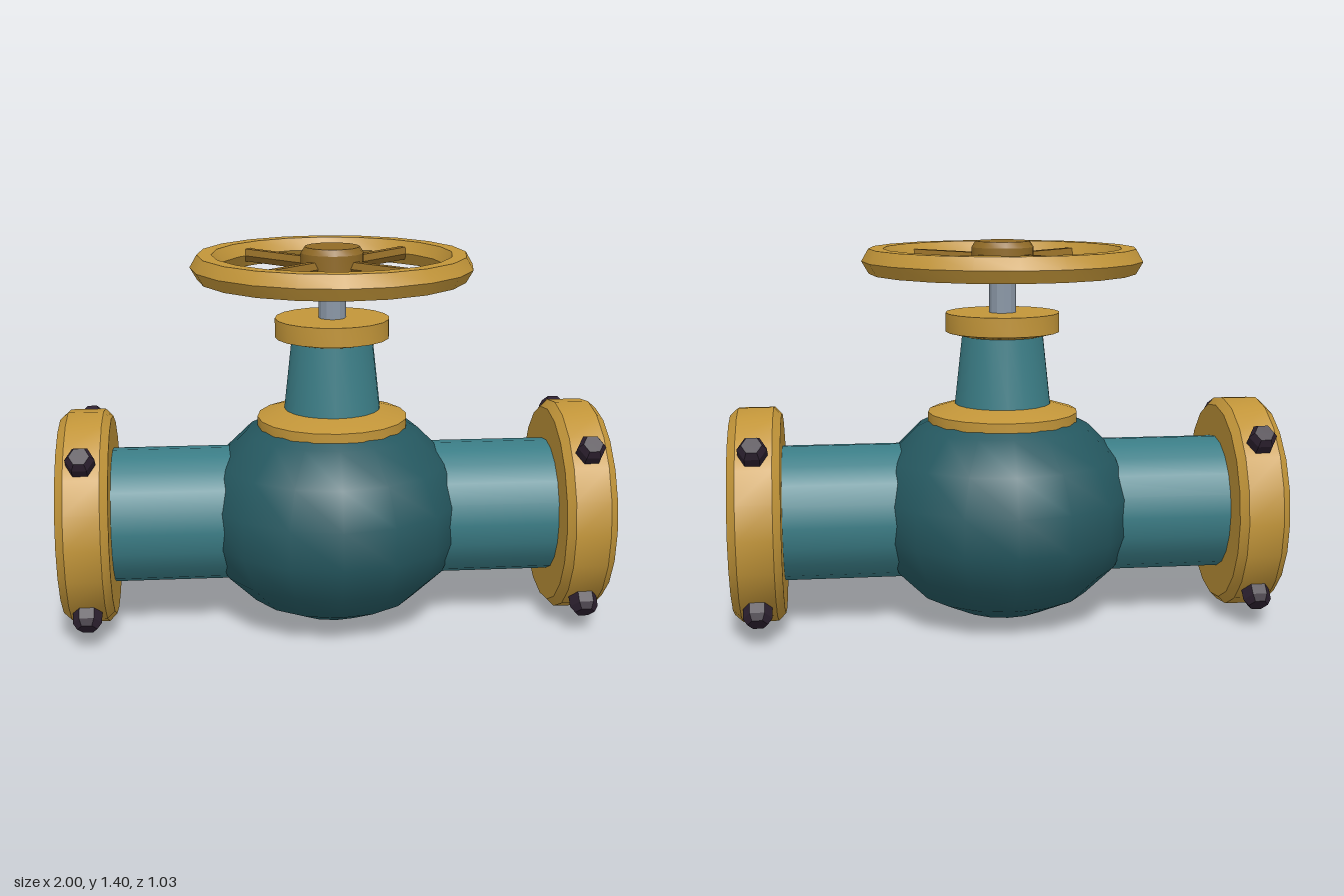
import * as THREE from 'three';
import { toCreasedNormals } from 'three/addons/utils/BufferGeometryUtils.js';

const material = (name, color) => {
  const m = new THREE.MeshStandardMaterial({ color });
  m.name = name;
  return m;
};

export function createModel() {
  const model = new THREE.Group();
  model.name = 'handwheelValve';

  const brass = material('brass', 0xc29539);
  const darkBrass = material('dark brass', 0x906a26);
  const teal = material('teal', 0x3b7d86);
  const darkTeal = material('dark teal', 0x255860);
  const steel = material('steel', 0x8a97a6);
  const boltDark = material('bolt dark', 0x2d2130);

  const axisY = 0.41; // height of the pipe axis
  const wheelY = 1.335;

  const add = (name, geometry, mat, parent = model) => {
    const mesh = new THREE.Mesh(geometry, mat);
    mesh.name = name;
    parent.add(mesh);
    return mesh;
  };

  // Turned part: [radius, height] profile from bottom to top, sharp at its steps
  const turned = (profile, sides = 20) => toCreasedNormals(
    new THREE.LatheGeometry(profile.map(([r, y]) => new THREE.Vector2(r, y)), sides), 0.5);

  // Bulbous body
  const body = add('body', new THREE.SphereGeometry(0.497, 16, 9), darkTeal);
  body.scale.y = 0.41 / 0.497;
  body.position.y = axisY;

  // Pipe, flange and bolts on both sides
  const pipeShape = new THREE.CylinderGeometry(0.25, 0.25, 0.6, 20, 1, true);
  const flangeShape = turned([[0, 0.815], [0.37, 0.815], [0.397, 0.842],
    [0.397, 0.97], [0.37, 1], [0, 1]]);
  const boltShape = turned([[0, 0.37], [0.052, 0.37], [0.052, 0.432],
    [0.036, 0.456], [0, 0.456]], 6);

  for (const side of [1, -1]) {
    const end = new THREE.Group();
    end.name = side > 0 ? 'leftEnd' : 'rightEnd';
    end.position.y = axisY;
    end.rotation.y = side > 0 ? 0 : Math.PI;
    model.add(end);

    const pipe = add('pipe', pipeShape, teal, end);
    pipe.rotation.z = -Math.PI / 2;
    pipe.position.x = 0.53;

    add('flange', flangeShape, brass, end).rotation.z = -Math.PI / 2;

    for (let i = 0; i < 4; i++) {
      const holder = new THREE.Group();
      holder.name = 'boltHolder';
      holder.position.x = 0.908;
      holder.rotation.x = Math.PI / 4 + i * Math.PI / 2;
      end.add(holder);
      add('bolt', boltShape, boltDark, holder).rotation.y = Math.PI / 2;
    }
  }

  // Bonnet: lower collar, tapered neck, upper collar and stem
  add('lowerCollar', turned([[0, 0.742], [0.278, 0.742], [0.278, 0.778],
    [0.18, 0.808], [0, 0.808]]), brass);
  add('neck', turned([[0.18, 0.79], [0.149, 1.07]]), teal);
  add('upperCollar', turned([[0, 1.06], [0.15, 1.06], [0.21, 1.075],
    [0.21, 1.145], [0, 1.145]]), brass);
  add('stem', turned([[0.05, 1.12], [0.05, 1.28]], 12), steel);

  // Handwheel: six-sided rim section, hub and four spokes
  const wheel = new THREE.Group();
  wheel.name = 'handwheel';
  wheel.position.y = wheelY;
  model.add(wheel);

  const rim = [];
  for (let i = 0; i <= 6; i++) {
    const a = i * Math.PI / 3;
    rim.push([0.462 + 0.052 * Math.cos(a), 0.052 * Math.sin(a)]);
  }
  add('rim', turned(rim), brass, wheel);

  add('hub', turned([[0, -0.073], [0.1, -0.073], [0.114, -0.048],
    [0.114, 0.048], [0.1, 0.07], [0, 0.07]], 16), darkBrass, wheel);

  const spokeShape = toCreasedNormals(new THREE.CylinderGeometry(0.027, 0.027, 0.36, 6), 0.5);
  for (let i = 0; i < 4; i++) {
    const arm = new THREE.Group();
    arm.name = 'spokeArm';
    arm.rotation.y = Math.PI / 4 + i * Math.PI / 2;
    wheel.add(arm);
    const spoke = add('spoke', spokeShape, darkBrass, arm);
    spoke.rotation.z = -Math.PI / 2;
    spoke.position.x = 0.25;
  }

  return model;
}
